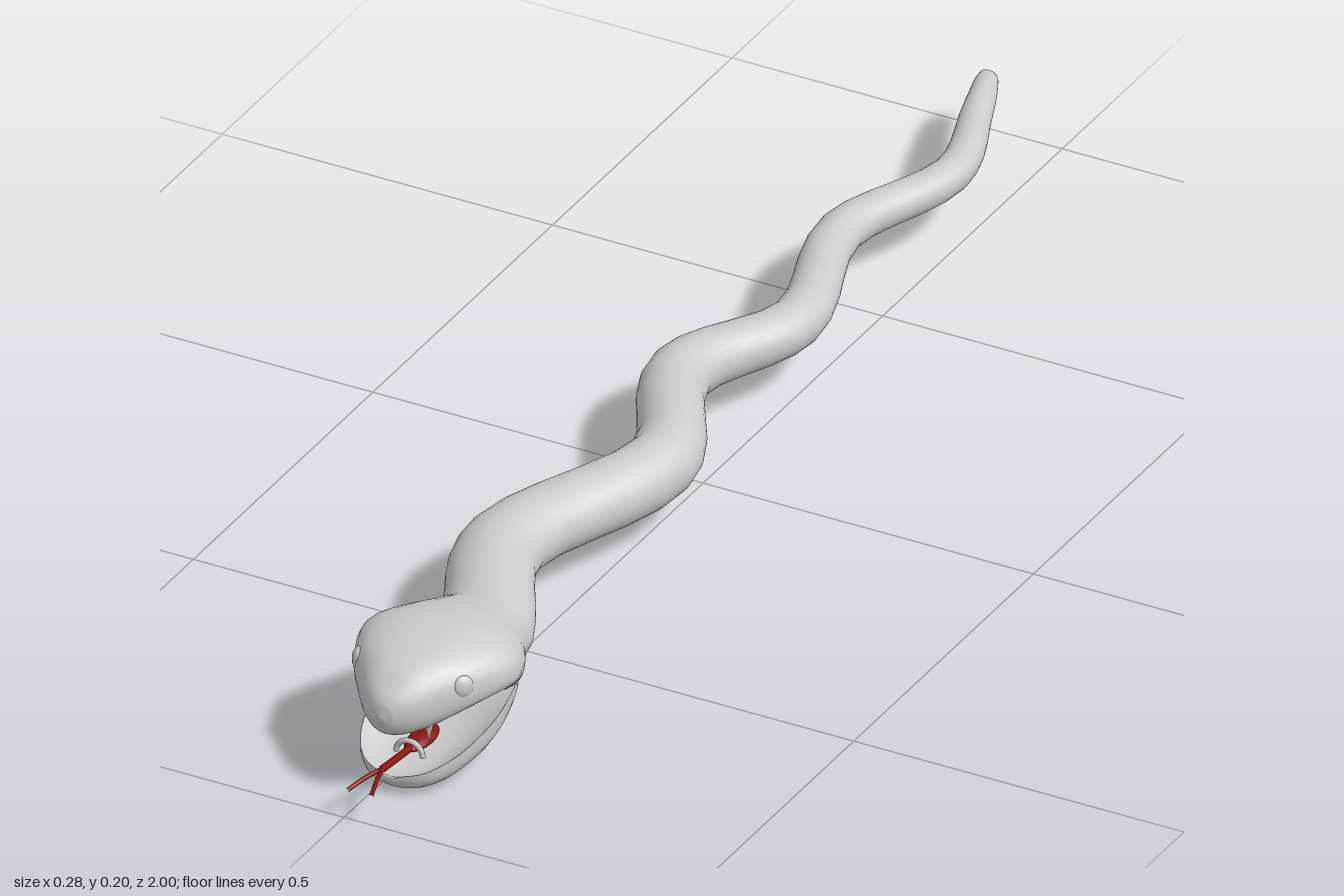
import * as THREE from 'three';

const RING = 32, STEPS = 5, HEAD_X = 0.023;
const skin = new THREE.MeshStandardMaterial({ color: 0xcccccc, roughness: 0.8 });
const red = new THREE.MeshStandardMaterial({ color: 0x8c1010, roughness: 0.8 });

// Smooth interpolation between stations; the first column of a station is z
function resample(stations) {
  const slope = (i, k) => {
    const a = stations[Math.max(i - 1, 0)], b = stations[Math.min(i + 1, stations.length - 1)];
    return (b[k] - a[k]) / (b[0] - a[0]);
  };
  const out = [];
  for (let i = 0; i < stations.length - 1; i++) {
    const a = stations[i], b = stations[i + 1], h = b[0] - a[0];
    for (let s = 0; s < STEPS; s++) {
      const t = s / STEPS, t2 = t * t, t3 = t2 * t;
      out.push(a.map((v, k) => (2 * t3 - 3 * t2 + 1) * v + (t3 - 2 * t2 + t) * h * slope(i, k)
        + (3 * t2 - 2 * t3) * b[k] + (t3 - t2) * h * slope(i + 1, k)));
    }
  }
  out.push(stations[stations.length - 1]);
  return out;
}

// Skin over stations [z, centre x, half width, bottom, widest height, top, roundness].
// A top lower than the widest height makes a scooped trough with a soft rim.
function loft(stations) {
  const rows = resample(stations), pos = [], idx = [];
  rows.forEach(([z, x, w, bottom, mid, top, p], i) => {
    const a = rows[Math.max(i - 1, 0)], b = rows[Math.min(i + 1, rows.length - 1)];
    const stretch = Math.hypot(1, (b[1] - a[1]) / (b[0] - a[0]));
    for (let j = 0; j < RING; j++) {
      const t = (j / RING) * Math.PI * 2, c = Math.cos(t), s = Math.sin(t);
      const power = s > 0 && top < mid ? 2 : p;
      const dy = Math.pow(Math.abs(s), power) * (s > 0 ? top - mid : bottom - mid);
      pos.push(x + w * stretch * Math.sign(c) * Math.pow(Math.abs(c), p), mid + dy, z);
    }
  });
  const n = rows.length, first = n * RING, last = first + 1;
  for (const r of [rows[0], rows[n - 1]]) pos.push(r[1], (r[3] + r[5]) / 2, r[0]);
  for (let j = 0; j < RING; j++) {
    const k = (j + 1) % RING;
    for (let i = 0; i < n - 1; i++) {
      const a = i * RING + j, b = i * RING + k;
      idx.push(a, b, a + RING, b, b + RING, a + RING);
    }
    idx.push(first, k, j, last, (n - 1) * RING + j, (n - 1) * RING + k);
  }
  const g = new THREE.BufferGeometry();
  g.setAttribute('position', new THREE.Float32BufferAttribute(pos, 3));
  g.setIndex(idx);
  g.computeVertexNormals();
  return g;
}

function add(group, name, geometry, material = skin) {
  const m = new THREE.Mesh(geometry, material);
  m.name = name;
  group.add(m);
  return m;
}

function tube(points, radius) {
  const curve = new THREE.CatmullRomCurve3(points.map(p => new THREE.Vector3(...p)));
  return new THREE.TubeGeometry(curve, 16, radius, 8);
}

export function createModel() {
  const model = new THREE.Group();
  model.name = 'snake';

  // Winding body, running from the tail tip into the upper head
  add(model, 'bodyAndUpperHead', loft([
    [-1.00, -0.108, 0.004, 0.072, 0.076, 0.080, 1],
    [-0.975, -0.098, 0.014, 0.080, 0.095, 0.108, 1],
    [-0.90, -0.072, 0.021, 0.074, 0.095, 0.115, 1],
    [-0.73, -0.022, 0.027, 0.069, 0.095, 0.119, 1],
    [-0.53, -0.079, 0.032, 0.065, 0.095, 0.123, 1],
    [-0.29, -0.018, 0.037, 0.060, 0.095, 0.128, 1],
    [-0.10, -0.088, 0.045, 0.053, 0.094, 0.136, 1],
    [0.12, 0.001, 0.049, 0.046, 0.092, 0.139, 1],
    [0.40, -0.081, 0.058, 0.043, 0.090, 0.139, 1],
    [0.60, -0.001, 0.066, 0.044, 0.095, 0.147, 1],
    [0.67, 0.012, 0.082, 0.038, 0.112, 0.170, 0.97],
    [0.72, 0.020, 0.101, 0.062, 0.130, 0.187, 0.92],
    [0.78, HEAD_X, 0.115, 0.104, 0.143, 0.199, 0.85],
    [0.85, HEAD_X, 0.090, 0.101, 0.143, 0.197, 0.82],
    [0.89, HEAD_X, 0.062, 0.091, 0.138, 0.186, 0.85],
    [0.92, HEAD_X, 0.038, 0.095, 0.135, 0.167, 0.9],
    [0.936, HEAD_X, 0.018, 0.108, 0.130, 0.150, 1],
    [0.941, HEAD_X, 0.003, 0.125, 0.128, 0.131, 1],
  ]));

  // Open lower jaw with a scooped mouth floor
  add(model, 'lowerJaw', loft([
    [0.58, -0.008, 0.050, 0.050, 0.085, 0.080, 1],
    [0.66, 0.012, 0.070, 0.036, 0.092, 0.086, 0.9],
    [0.72, 0.020, 0.088, 0.024, 0.092, 0.080, 0.8],
    [0.78, HEAD_X, 0.090, 0.010, 0.074, 0.048, 0.72],
    [0.84, HEAD_X, 0.080, 0.003, 0.056, 0.030, 0.72],
    [0.88, HEAD_X, 0.064, 0.001, 0.045, 0.024, 0.75],
    [0.905, HEAD_X, 0.042, 0.007, 0.036, 0.026, 0.85],
    [0.916, HEAD_X, 0.015, 0.018, 0.030, 0.028, 1],
  ]));

  // Tongue sheath on the mouth floor
  const sheath = add(model, 'tongueSheath', new THREE.TorusGeometry(0.02, 0.004, 8, 20, Math.PI));
  sheath.position.set(HEAD_X, 0.033, 0.86);

  // Forked tongue
  const tongue = new THREE.Group();
  tongue.name = 'tongue';
  model.add(tongue);
  add(tongue, 'tongueStem', tube([[HEAD_X, 0.036, 0.78], [HEAD_X, 0.042, 0.87], [HEAD_X, 0.049, 0.94]], 0.005), red);
  const base = add(tongue, 'tongueBase', new THREE.SphereGeometry(1, 16, 10), red);
  base.scale.set(0.017, 0.009, 0.04);
  base.position.set(HEAD_X, 0.04, 0.825);

  // Paired parts on both sides of the head
  for (const side of [-1, 1]) {
    const label = side > 0 ? 'left' : 'right';
    add(tongue, label + 'TongueTip', tube([[HEAD_X, 0.049, 0.935],
      [HEAD_X + side * 0.008, 0.049, 0.965], [HEAD_X + side * 0.018, 0.044, 1]], 0.003), red);

    const eye = add(model, label + 'Eye', new THREE.SphereGeometry(1, 20, 14));
    eye.scale.set(0.01, 0.017, 0.016);
    eye.position.set(HEAD_X + side * 0.078, 0.156, 0.856);
    eye.rotation.y = -side * 0.6;

    const fang = add(model, label + 'Fang', new THREE.ConeGeometry(0.008, 0.034, 12));
    fang.rotation.x = Math.PI;
    fang.position.set(HEAD_X + side * 0.043, 0.094, 0.885);
  }
  return model;
}
